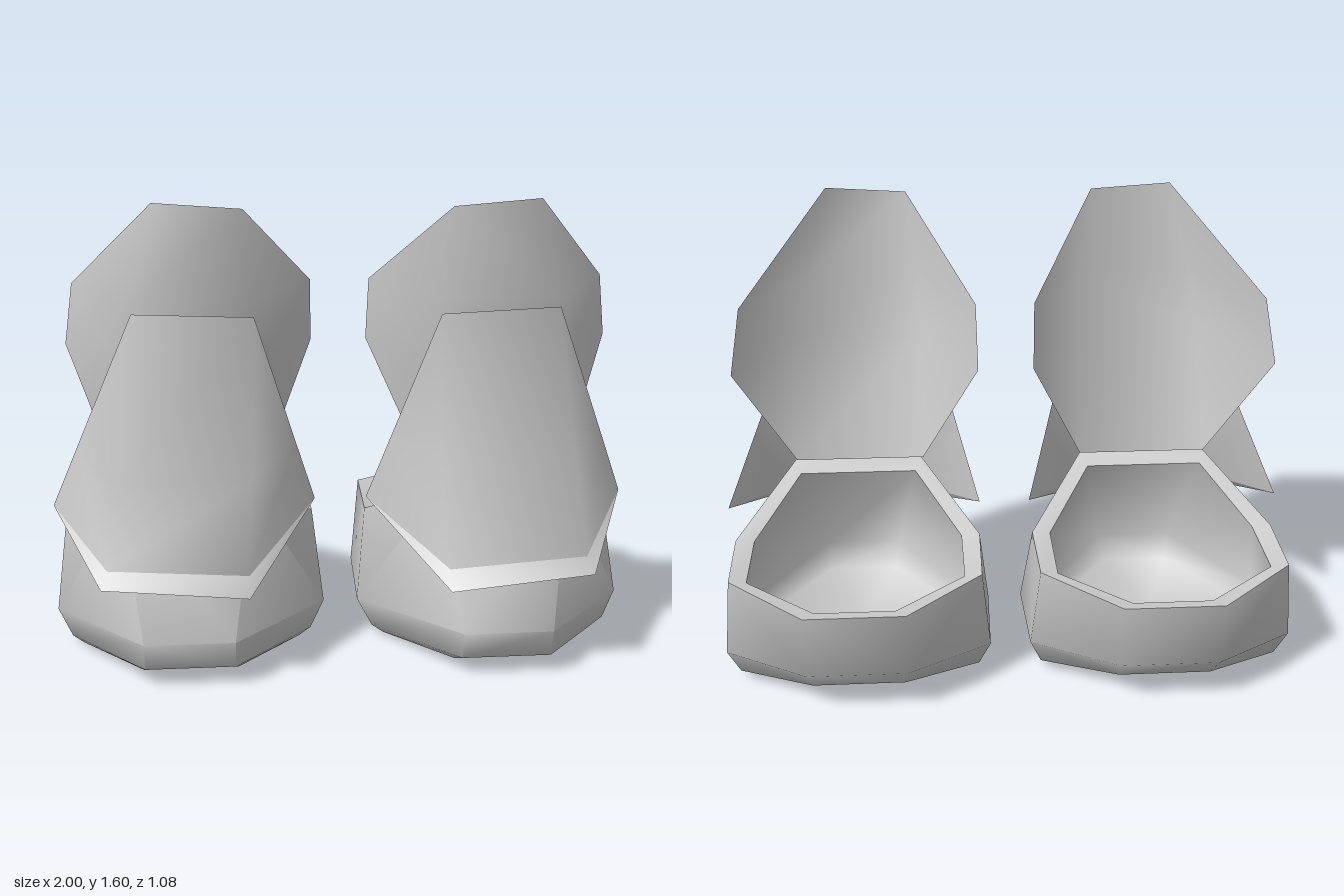
import * as THREE from 'three';
import { toCreasedNormals } from 'three/addons/utils/BufferGeometryUtils.js';

const CX = 0.53; // centre of one boot

// Skin rows of points into a surface; side = -1 mirrors it across x
function skin(name, rows, side, { closed = false, crease = 3, double = false } = {}) {
  const n = rows[0].length, pos = [];
  const same = (a, b) => a.every((v, k) => Math.abs(v - b[k]) < 1e-6);
  const tri = (a, b, c) => {
    if (same(a, b) || same(b, c) || same(a, c)) return;
    for (const p of side > 0 ? [a, b, c] : [a, c, b]) pos.push(p[0] * side, p[1], p[2]);
  };
  for (let i = 0; i < rows.length - 1; i++) {
    for (let j = 0; j < (closed ? n : n - 1); j++) {
      const k = (j + 1) % n;
      const a = rows[i][j], b = rows[i][k], c = rows[i + 1][k], d = rows[i + 1][j];
      // Diagonals mirror about the middle of the row
      if (j < (n - 1) / 2) {
        tri(a, b, d);
        tri(b, c, d);
      } else {
        tri(a, b, c);
        tri(a, c, d);
      }
    }
  }
  let geo = new THREE.BufferGeometry();
  geo.setAttribute('position', new THREE.Float32BufferAttribute(pos, 3));
  geo = toCreasedNormals(geo, crease);
  const mat = new THREE.MeshStandardMaterial({
    color: 0xcccccc, side: double ? THREE.DoubleSide : THREE.FrontSide,
  });
  const mesh = new THREE.Mesh(geo, mat);
  mesh.name = name;
  return mesh;
}

// Eight-point ring from four [halfWidth, y, z] stations, front to rear
const ring = (stations) => [
  ...stations.map(([w, y, z]) => [CX + w, y, z]),
  ...stations.slice().reverse().map(([w, y, z]) => [CX - w, y, z]),
];

function createBoot(side) {
  const boot = new THREE.Group();

  // Octagonal shoe: sole, rounded bevel, wall and flat rim
  const rimInner = ring([[0.21, 0.575, 0.22], [0.37, 0.42, -0.01], [0.37, 0.42, -0.31], [0.135, 0.395, -0.485]]);
  const shoe = [
    ring(Array(4).fill([0, 0.005, 0.03])),
    ring([[0.16, 0.02, 0.38], [0.38, 0.01, 0.13], [0.37, 0.002, -0.2], [0.14, 0.012, -0.27]]),
    ring([[0.15, 0.07, 0.48], [0.42, 0.035, 0.12], [0.42, 0.035, -0.25], [0.16, 0.06, -0.4]]),
    ring([[0.15, 0.17, 0.51], [0.47, 0.12, 0.08], [0.46, 0.13, -0.28], [0.17, 0.16, -0.5]]),
    ring([[0.22, 0.61, 0.31], [0.435, 0.43, -0.02], [0.43, 0.43, -0.32], [0.17, 0.405, -0.54]]),
    rimInner,
  ];
  boot.add(skin('shoe', shoe, side, { closed: true, crease: 1 }));

  // Smooth hollow inside of the shoe
  const lining = [
    rimInner,
    ring([[0.14, 0.18, 0.42], [0.4, 0.14, 0.06], [0.39, 0.14, -0.26], [0.14, 0.17, -0.43]]),
    ring([[0.12, 0.1, 0.36], [0.34, 0.08, 0.08], [0.34, 0.08, -0.21], [0.12, 0.09, -0.34]]),
    ring(Array(4).fill([0, 0.07, 0])),
  ];
  boot.add(skin('shoeLining', lining, side, { closed: true }));

  // Tall leg plate with wings that bend backwards
  const legTop = [[0.33, 1.58, 0.4], [0.61, 1.6, 0.39]];
  const legFoot = [[0.29, 0.63, 0.22], [0.75, 0.63, 0.22]];
  const leg = [
    [legFoot[0], legFoot[0], legFoot[1], legFoot[1]],
    [[0.095, 1.06, -0.02], [0.29, 1.06, 0.33], [0.72, 1.06, 0.33], [0.935, 1.06, -0.02]],
    [[0.1, 1.28, 0.03], [0.3, 1.28, 0.365], [0.69, 1.28, 0.365], [0.9, 1.28, 0.03]],
    [legTop[0], legTop[0], legTop[1], legTop[1]],
  ];
  boot.add(skin('legPlate', leg, side, { double: true }));

  // Front shin plate, flaring over the toes
  const shinTop = [[0.3, 1.235, 0.39], [0.685, 1.25, 0.385]];
  const corner = [[0.09, 0.51, 0.08], [0.995, 0.51, 0.08]];
  const shin = [
    [corner[0], [0.33, 0.395, 0.485], [0.79, 0.42, 0.47], corner[1]],
    [[0.16, 0.75, 0.18], [0.31, 0.7, 0.395], [0.76, 0.7, 0.395], [0.895, 0.75, 0.18]],
    [shinTop[0], shinTop[0], shinTop[1], shinTop[1]],
  ];
  boot.add(skin('shinPlate', shin, side, { double: true }));

  // Lip along the lower edge of the shin plate
  const lip = [[corner[0], [0.33, 0.335, 0.535], [0.81, 0.37, 0.51], corner[1]], shin[0]];
  boot.add(skin('shinLip', lip, side, { double: true }));
  return boot;
}

export function createModel() {
  const model = new THREE.Group();
  model.name = 'armouredBoots';
  for (const [name, side] of [['leftBoot', 1], ['rightBoot', -1]]) {
    const boot = createBoot(side);
    boot.name = name;
    model.add(boot);
  }
  return model;
}
